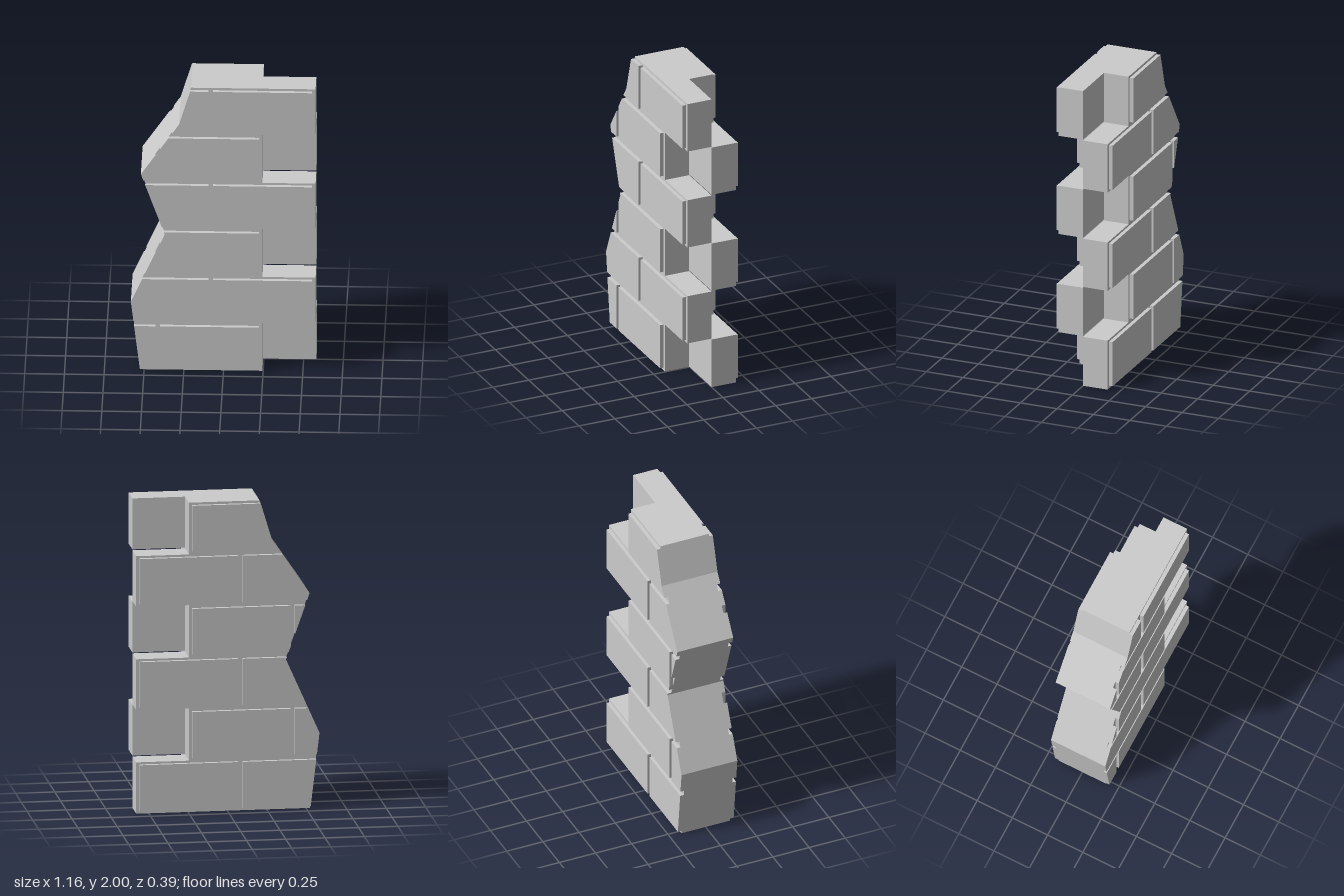
import * as THREE from 'three';

const ROWS = 6, ROW_H = 2 / ROWS;
const CORE = 0.168, FACE = 0.193;          // half thickness of the core and of the raised bricks
const LONG = 0.58, SHORT = 0.245;          // where long and short courses end
// Broken edge, bottom to top
const EDGE = [[-0.525, 0], [-0.583, 0.49], [-0.37, 0.97], [-0.52, 1.395], [-0.28, 1.75], [-0.205, 2]];

function edgeX(y) {
  for (let i = 1; i < EDGE.length; i++) {
    const [xa, ya] = EDGE[i - 1], [xb, yb] = EDGE[i];
    if (y <= yb) return xa + (xb - xa) * (y - ya) / (yb - ya);
  }
  return EDGE[EDGE.length - 1][0];
}

// Rectangle cut off on the left by the broken edge
function cutBrick(xl, xr, y0, y1) {
  const ys = [y0, y1];
  EDGE.forEach(([xb, yb], i) => {
    ys.push(yb);
    if (i === 0) return;
    const [xa, ya] = EDGE[i - 1];
    for (const x of [xl, xr]) {
      const t = (x - xa) / (xb - xa);
      if (t > 0 && t < 1) ys.push(ya + (yb - ya) * t);
    }
  });
  const left = ys.filter(y => y >= y0 && y <= y1 && edgeX(y) <= xr + 1e-5)
    .sort((a, b) => a - b)
    .map(y => new THREE.Vector2(Math.max(edgeX(y), xl), y));
  if (left.length < 2) return null;
  const top = left[left.length - 1], bottom = left[0];
  const pts = [...left];
  if (xr - top.x > 1e-4) pts.push(new THREE.Vector2(xr, top.y));
  if (xr - bottom.x > 1e-4) pts.push(new THREE.Vector2(xr, bottom.y));
  return pts.length > 2 ? new THREE.Shape(pts) : null;
}

// Core outline: broken edge on the left, interlocking teeth on the right
function coreShape(isLong) {
  const pts = EDGE.map(([x, y]) => new THREE.Vector2(x, y));
  for (let i = ROWS - 1; i >= 0; i--) {
    if (!isLong(i)) continue;
    const top = i === ROWS - 1 ? 2 : (i + 1) * ROW_H - 0.0015;
    const bottom = i === 0 ? 0 : i * ROW_H + 0.004;
    if (top < 2) pts.push(new THREE.Vector2(SHORT, top));
    pts.push(new THREE.Vector2(LONG, top), new THREE.Vector2(LONG, bottom));
    if (bottom > 0) pts.push(new THREE.Vector2(SHORT, bottom));
  }
  if (!isLong(ROWS - 1)) pts.splice(EDGE.length, 0, new THREE.Vector2(SHORT, 2));
  if (!isLong(0)) pts.push(new THREE.Vector2(SHORT, 0));
  return new THREE.Shape(pts);
}

export function createModel() {
  const model = new THREE.Group();
  model.name = 'brokenBrickWall';
  const material = new THREE.MeshStandardMaterial({ color: 0xcccccc, flatShading: true });

  const slab = (parent, name, shape, z0, z1) => {
    const geometry = new THREE.ExtrudeGeometry(shape, { depth: z1 - z0, bevelEnabled: false });
    const mesh = new THREE.Mesh(geometry.translate(0, 0, z0), material);
    mesh.name = name;
    parent.add(mesh);
  };

  // Two wythes whose long and short courses alternate
  for (const side of [1, -1]) {
    const wythe = new THREE.Group();
    wythe.name = side > 0 ? 'frontWythe' : 'backWythe';
    model.add(wythe);
    const isLong = i => (i % 2 === 1) === (side > 0);

    slab(wythe, 'core', coreShape(isLong), side > 0 ? 0 : -CORE, side > 0 ? CORE : 0);

    // Raised bricks with mortar grooves between them
    for (let i = 0; i < ROWS; i++) {
      const y0 = i * ROW_H + 0.019, y1 = y0 + 0.299;
      const spans = isLong(i)
        ? [[-0.065, 0.558], [-1, -0.095]]
        : [[-0.4, 0.225], [-1, -0.428]];
      for (const [xl, xr] of spans) {
        const shape = cutBrick(xl, xr, y0, y1);
        if (shape) slab(wythe, 'brick', shape, side > 0 ? CORE : -FACE, side > 0 ? FACE : -CORE);
      }
    }
  }
  return model;
}
